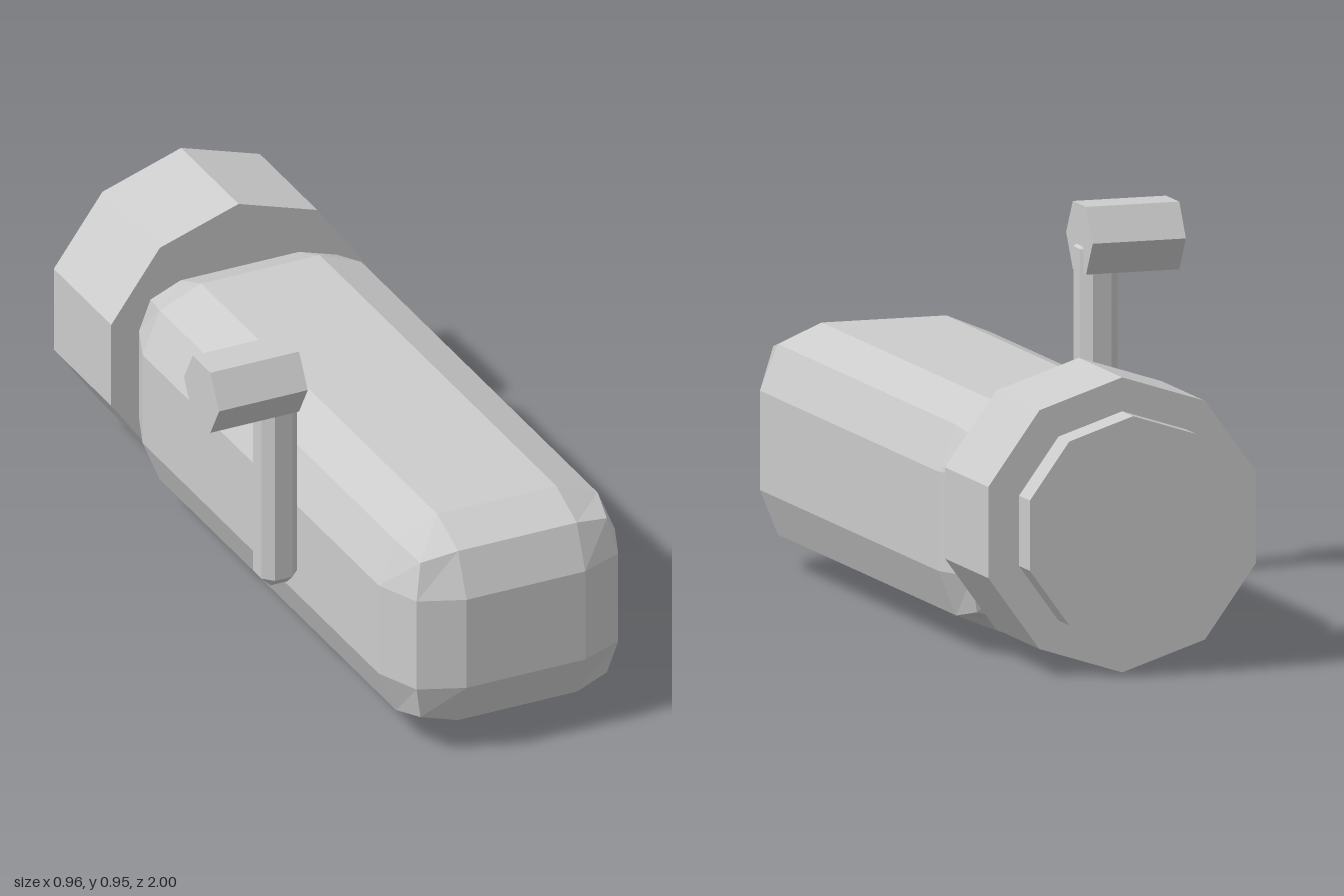
import * as THREE from 'three';
import { RoundedBoxGeometry } from 'three/addons/geometries/RoundedBoxGeometry.js';
import { ConvexGeometry } from 'three/addons/geometries/ConvexGeometry.js';

// Box with a single flat chamfer of size c on every edge
function chamferedBox(w, h, d, c) {
  const half = [w / 2, h / 2, d / 2];
  const points = [];
  for (const sx of [-1, 1]) for (const sy of [-1, 1]) for (const sz of [-1, 1]) {
    for (let axis = 0; axis < 3; axis++) {
      const [x, y, z] = half.map((v, i) => (i === axis ? v : v - c));
      points.push(new THREE.Vector3(sx * x, sy * y, sz * z));
    }
  }
  return new ConvexGeometry(points);
}

export function createModel() {
  const model = new THREE.Group();
  model.name = 'model';
  const grey = new THREE.MeshStandardMaterial({ color: 0xcccccc, flatShading: true });
  grey.name = 'grey';

  function add(name, geometry, x, y, z) {
    const mesh = new THREE.Mesh(geometry, grey);
    mesh.name = name;
    mesh.position.set(x, y, z);
    model.add(mesh);
  }

  // Long body with two-step rounded edges
  add('body', new RoundedBoxGeometry(0.652, 0.573, 1.64, 1, 0.162), 0.13, 0.329, 0.18);

  // Ten-sided collar and smaller end disc at the back
  const disc = (r, depth) => new THREE.CylinderGeometry(r, r, depth, 10).rotateX(Math.PI / 2);
  add('rearCollar', disc(0.37, 0.32), 0.13, 0.37, -0.76);
  add('endDisc', disc(0.285, 0.08), 0.13, 0.37, -0.96);

  // Upright crank arm with its hexagonal grip
  add('crankArm', chamferedBox(0.098, 0.573, 0.098, 0.025), -0.28, 0.576, 0.428);
  add('crankGrip', new THREE.CylinderGeometry(0.098, 0.098, 0.245, 6).rotateZ(Math.PI / 2), -0.36, 0.862, 0.428);

  return model;
}
